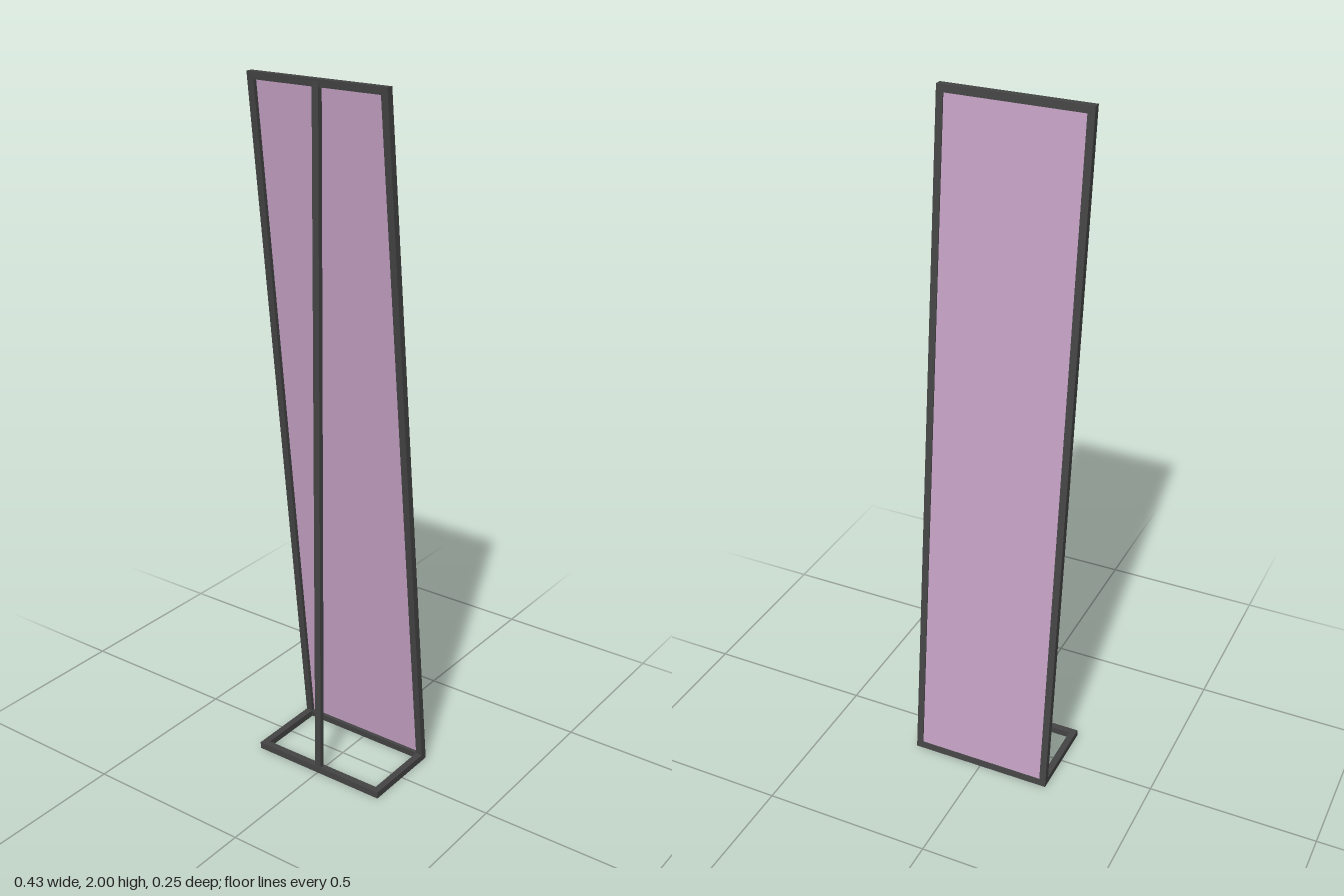
import * as THREE from 'three';

const frameMat = new THREE.MeshStandardMaterial({ color: 0x444444 });
const panelMat = new THREE.MeshStandardMaterial({ color: 0xc4a2c4 });

const W = 0.214; // half width
const T = 0.02;  // bar thickness
const H = 2;     // height

// back face of the leaning frame at height y
const backZ = (y) => -0.126 + (0.221 * y) / H;

// prism with a side profile of [z, y] points, extruded along x and centred at x
function prism(name, profile, width, x, material) {
  const shape = new THREE.Shape(profile.map(([z, y]) => new THREE.Vector2(z, y)));
  const geo = new THREE.ExtrudeGeometry(shape, { depth: width, bevelEnabled: false });
  geo.translate(0, 0, -width / 2);
  geo.rotateY(-Math.PI / 2);
  const mesh = new THREE.Mesh(geo, material);
  mesh.name = name;
  mesh.position.x = x;
  return mesh;
}

// piece of the leaning frame between two heights, inset from its back face
function leaning(name, y0, y1, inset, depth, width, x, material) {
  const a = backZ(y0) + inset, b = backZ(y1) + inset;
  return prism(name, [[a, y0], [a + depth, y0], [b + depth, y1], [b, y1]], width, x, material);
}

export function createModel() {
  const model = new THREE.Group();
  model.name = 'leaningPanelStand';

  // leaning frame and its panel
  const inner = 2 * (W - T);
  model.add(leaning('topRail', H - T, H, 0, T, inner, 0, frameMat));
  model.add(leaning('bottomRail', 0, T, 0, T, inner, 0, frameMat));
  model.add(leaning('panel', T, H - T, 0.003, 0.006, inner, 0, panelMat));

  // side bars and base runners, mirrored
  for (const [side, s] of [['left', 1], ['right', -1]]) {
    const x = s * (W - T / 2);
    model.add(leaning(side + 'SideBar', 0, H, 0, T, T, x, frameMat));
    const z0 = backZ(0) + T, z1 = 0.105;
    model.add(prism(side + 'BaseBar', [[z0, 0], [z1, 0], [z1, T], [z0, T]], T, x, frameMat));
  }

  // front bar of the base
  model.add(prism('frontBaseBar', [[0.105, 0], [0.125, 0], [0.125, T], [0.105, T]], 2 * W, 0, frameMat));

  // thin central post running from the base to the top rail
  model.add(prism('centrePost', [[0.108, T], [0.123, T], [0.1145, H - 0.005], [0.1, H - 0.005]], T, 0, frameMat));

  return model;
}
